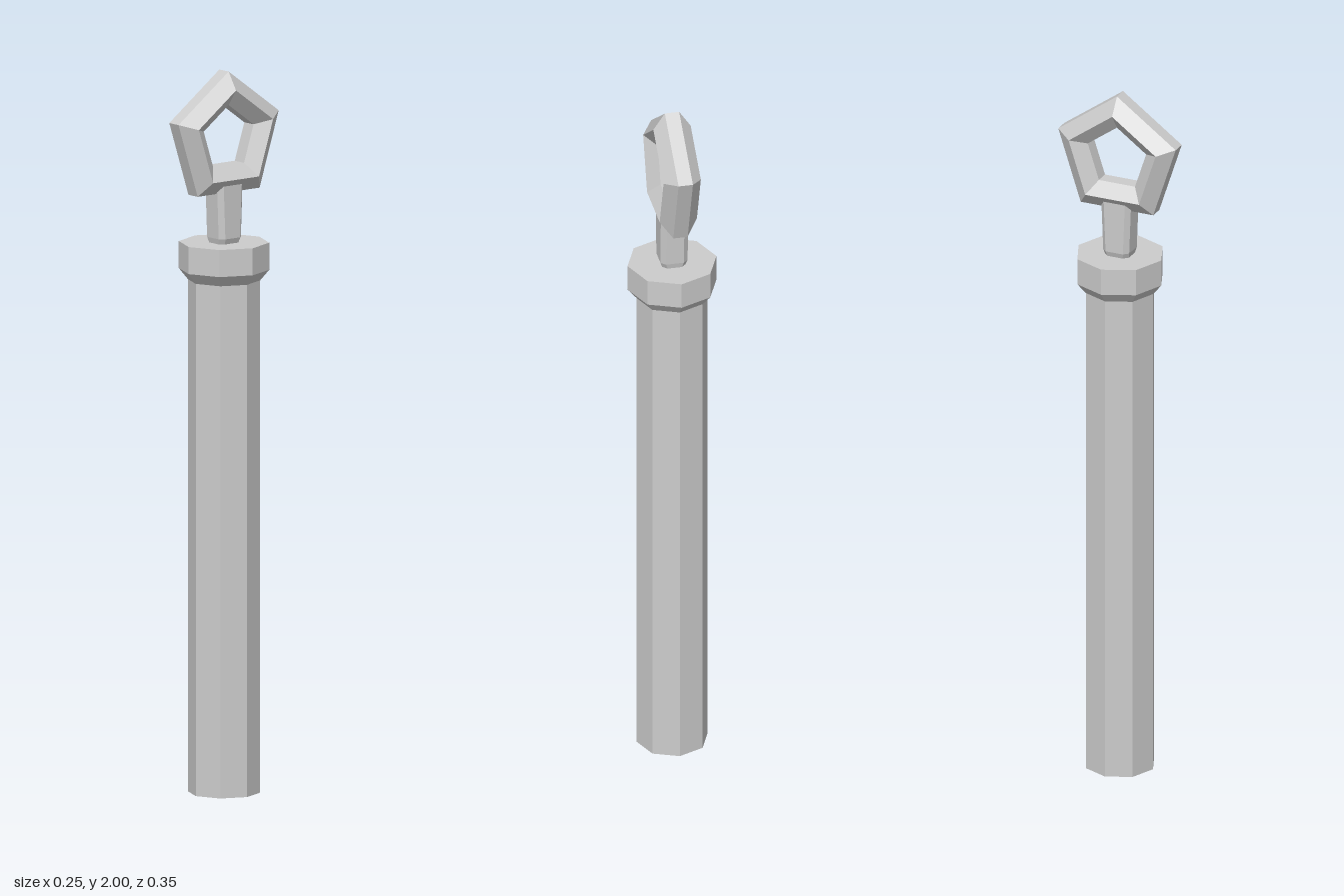
import * as THREE from 'three';
import { ConvexGeometry } from 'three/addons/geometries/ConvexGeometry.js';

const material = new THREE.MeshStandardMaterial({ color: 0xcccccc, flatShading: true });

function addPart(group, name, geometry) {
  const mesh = new THREE.Mesh(geometry, material);
  mesh.name = name;
  group.add(mesh);
  return mesh;
}

// Faceted solid of revolution from [radius, height] pairs
function turned(profile, sides) {
  return new THREE.LatheGeometry(profile.map(([r, y]) => new THREE.Vector2(r, y)), sides);
}

// Chamfered rectangular post from [height, half width, half depth] levels
function chamferedPost(levels, chamfer) {
  const points = [];
  for (const [y, w, d] of levels) {
    for (const sx of [-1, 1]) {
      for (const sz of [-1, 1]) {
        points.push(new THREE.Vector3(sx * w, y, sz * (d - chamfer)));
        points.push(new THREE.Vector3(sx * (w - chamfer), y, sz * d));
      }
    }
  }
  return new ConvexGeometry(points);
}

export function createModel() {
  const model = new THREE.Group();
  model.name = 'ringToppedRod';

  // Octagonal shaft
  addPart(model, 'shaft', turned([[0, 0], [0.099, 0], [0.099, 1.43]], 8));

  // Wider collar with a bevelled underside
  addPart(model, 'collar', turned(
    [[0, 1.42], [0.099, 1.42], [0.124, 1.45], [0.124, 1.525], [0, 1.525]], 8));

  // Stem, narrowed at the foot and widening slightly toward the ring
  addPart(model, 'stem', chamferedPost(
    [[1.52, 0.031, 0.035], [1.54, 0.038, 0.039], [1.698, 0.038, 0.045]], 0.013));

  // Five-sided ring with a hexagonal section, stood upright facing sideways
  const section = [[0.092, -0.02], [0.137, -0.052], [0.185, -0.02],
    [0.185, 0.02], [0.137, 0.052], [0.092, 0.02], [0.092, -0.02]];
  const ring = addPart(model, 'ring',
    turned(section, 5).rotateX(-Math.PI / 2).rotateY(-Math.PI / 2));
  ring.position.y = 1.815;

  return model;
}
